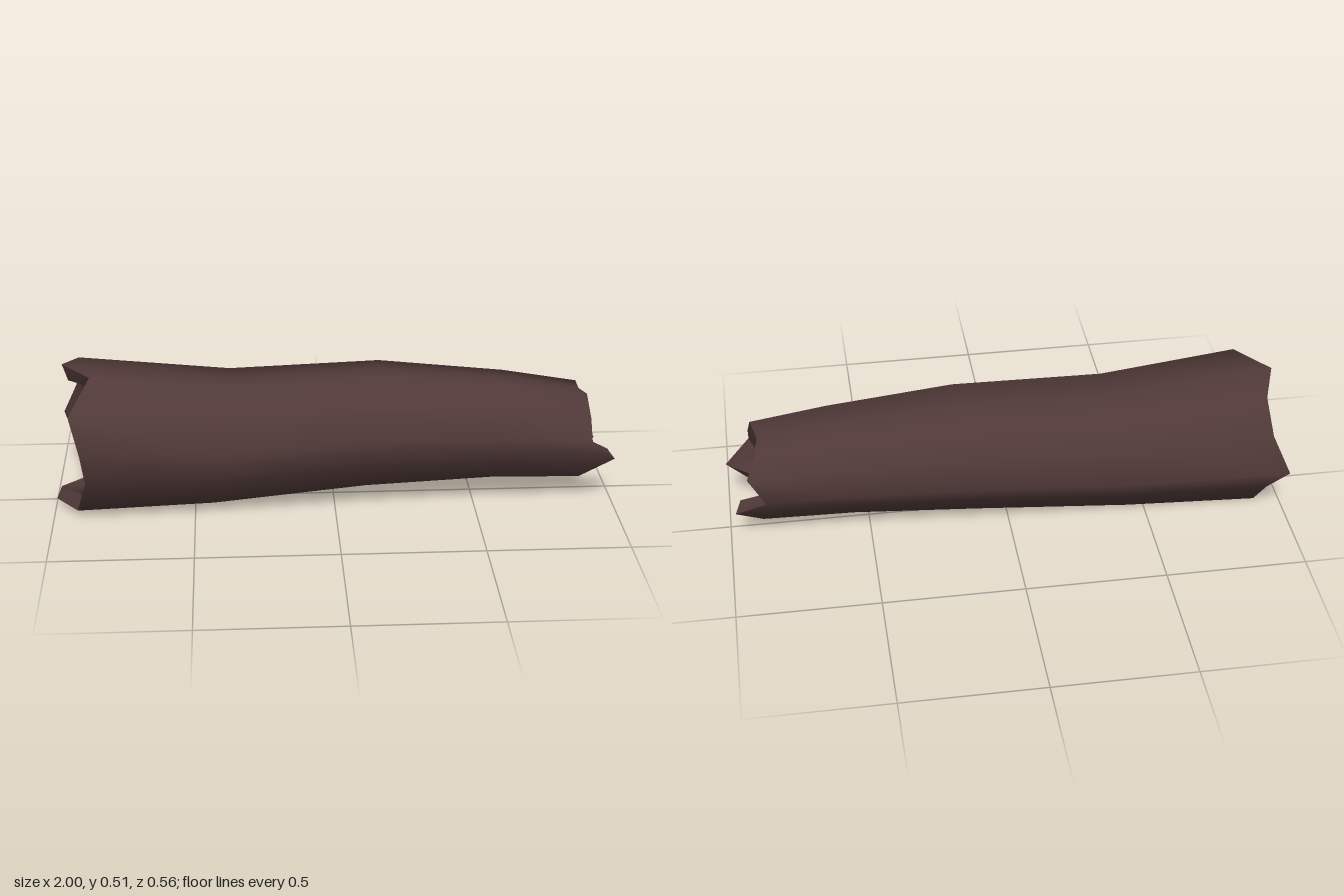
import * as THREE from 'three';
import { toCreasedNormals } from 'three/addons/utils/BufferGeometryUtils.js';

const SIDES = 12; // six corners with a midpoint between each pair
const TILT = THREE.MathUtils.degToRad(6);

// One hexagonal cross-section; xAt(i) gives the position along the log
function ring(xAt, cy, cz, radius) {
  return Array.from({ length: SIDES }, (_, i) => {
    const a = TILT + (i * Math.PI) / 6;
    const r = i % 2 ? radius * Math.cos(Math.PI / 6) : radius;
    return [xAt(i, a), cy + r * Math.sin(a), cz + r * Math.cos(a)];
  });
}

// Skin consecutive closed rings
function loft(rings) {
  const index = [];
  for (let k = 0; k < rings.length - 1; k++) {
    for (let i = 0; i < SIDES; i++) {
      const j = (i + 1) % SIDES;
      const a = k * SIDES + i, b = a + SIDES;
      const c = k * SIDES + j, d = c + SIDES;
      index.push(a, b, c, c, b, d);
    }
  }
  const geo = new THREE.BufferGeometry();
  geo.setAttribute('position', new THREE.Float32BufferAttribute(rings.flat(2), 3));
  geo.setIndex(index);
  geo.computeVertexNormals();
  return geo;
}

export function createModel() {
  const group = new THREE.Group();
  group.name = 'hollowLog';
  const bark = new THREE.MeshStandardMaterial({ color: 0x503938 });
  bark.name = 'darkBark';

  // Broken end outlines, starting at the front corner and going over the top
  const wideEnd = [-0.89, -0.93, -0.855, -0.96, -0.91, -0.93, -0.985, -0.93, -0.91, -1.0, -0.915, -0.88];
  const narrowEnd = [0.91, 0.91, 0.9, 0.88, 0.89, 0.925, 0.865, 0.975, 0.88, 0.9, 0.88, 1.0];

  // Middle sections: x, centre y, centre z, outer radius, inner radius
  const sections = [
    [-0.4, 0.238, 0, 0.247, 0.195],
    [0.14, 0.271, -0.009, 0.231, 0.172],
    [0.59, 0.26, -0.003, 0.198, 0.145],
  ];
  const skin = (column, inset) => {
    const wide = column === 3 ? 0.281 : 0.228;
    const narrow = column === 3 ? 0.178 : 0.12;
    return [
      ring((i) => wideEnd[i] + inset, 0.256, 0, wide),
      ...sections.map((s) => ring((i, a) => s[0] + 0.04 * Math.sin(a), s[1], s[2], s[column])),
      ring((i) => narrowEnd[i] - inset, 0.237, 0.005, narrow),
    ];
  };
  const outer = skin(3, 0);
  const inner = skin(4, 0.02);
  outer[0][3][1] += 0.014; // raised splinter on the top of the wide end

  const add = (name, geo) => {
    const mesh = new THREE.Mesh(geo, bark);
    mesh.name = name;
    group.add(mesh);
  };
  add('outerBark', loft(outer));
  add('innerWall', loft([...inner].reverse()));
  add('wideBrokenRim', toCreasedNormals(loft([inner[0], outer[0]]), 0.5));
  add('narrowBrokenRim', toCreasedNormals(loft([outer.at(-1), inner.at(-1)]), 0.5));

  return group;
}
